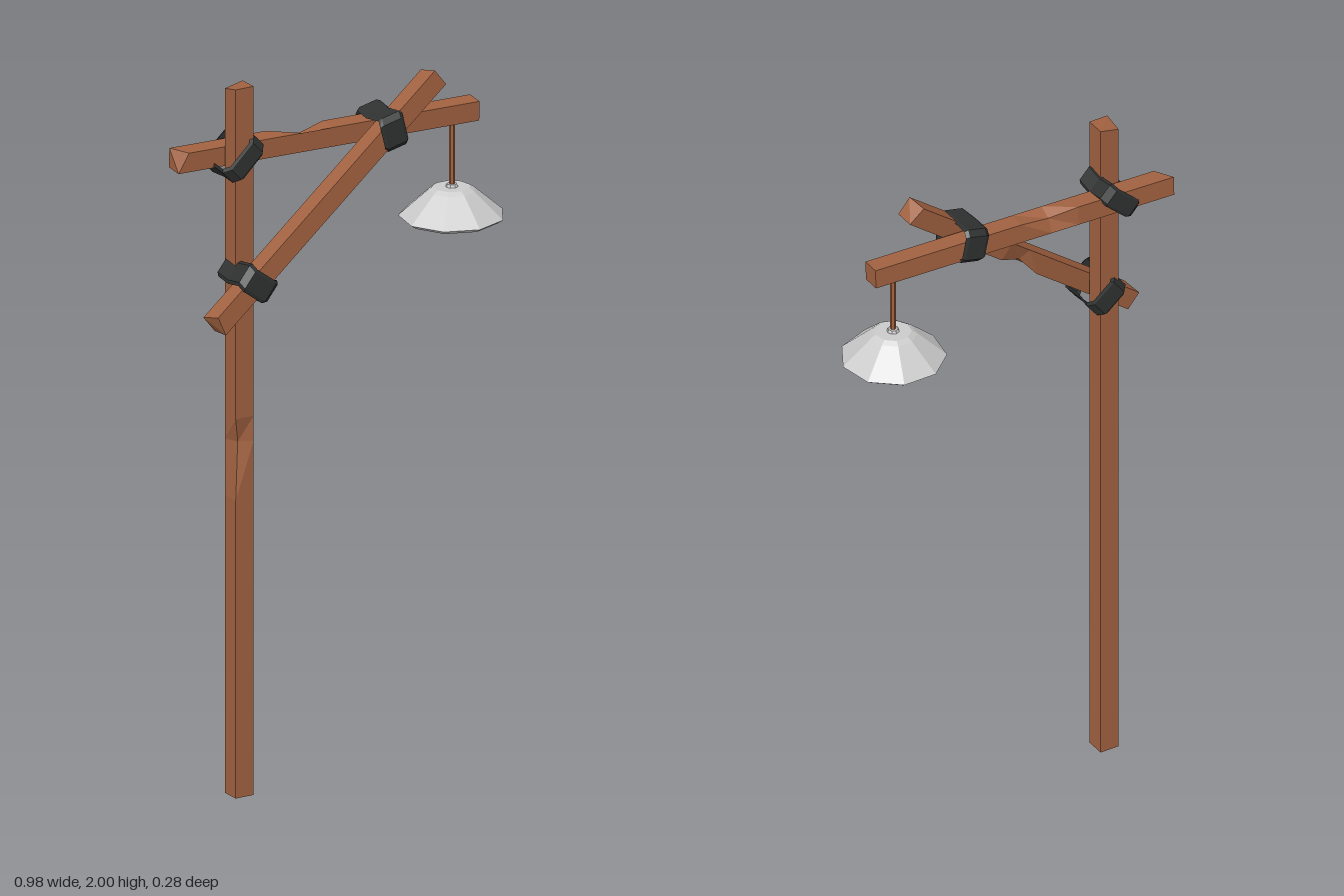
import * as THREE from 'three';

const mat = (color) => new THREE.MeshStandardMaterial({ color, flatShading: true, side: THREE.DoubleSide });
const wood = mat(0xa26241);
const rope = mat(0x303232);
const metal = mat(0xcccccc);
const V = (x, y, z) => new THREE.Vector3(x, y, z);

function add(parent, name, geometry, material) {
  const mesh = new THREE.Mesh(geometry, material);
  mesh.name = name;
  parent.add(mesh);
  return mesh;
}

// Square timber from a to b. notch: rows along the length (0..1) and the corner
// that is worn away there; chip: corners cut back at the start and the end.
function timber(parent, name, a, b, width, notch, chips) {
  const length = a.distanceTo(b);
  const rows = [0, ...notch.rows, 1];
  const g = new THREE.BoxGeometry(width, 1, width, 1, 4, 1);
  const p = g.attributes.position;
  for (let i = 0; i < p.count; i++) {
    const row = Math.round((p.getY(i) + 0.5) * 4);
    const sx = Math.sign(p.getX(i)), sz = Math.sign(p.getZ(i));
    let y = (rows[row] - 0.5) * length;
    if (row === 2 && sx === notch.sx && sz === notch.sz) {
      p.setX(i, p.getX(i) - sx * notch.depth);
      p.setZ(i, p.getZ(i) - sz * notch.depth);
    }
    for (const c of chips)
      if (row === c.row && sx === c.sx && sz === c.sz) y += (row === 0 ? 1 : -1) * c.cut;
    p.setY(i, y);
  }
  const mesh = add(parent, name, g, wood);
  mesh.position.copy(a).lerp(b, 0.5);
  mesh.quaternion.setFromUnitVectors(V(0, 1, 0), b.clone().sub(a).normalize());
}

// Closed strap around two timbers: outline in (u, z), band width across v
function binding(parent, name, x, y, angle, u, z0, z1, w) {
  const zm = (z0 + z1) / 2, r = 0.015;
  const half = [[0.7 * u, z0], [u, z0 + r], [0.93 * u, zm], [u, z1 - r], [0.7 * u, z1]];
  const outline = [...half, ...half.map(([a, z]) => [-a, z]).reverse()];
  const section = [[-w, 0.88], [-0.75 * w, 1], [0.75 * w, 1], [w, 0.88]];
  const pos = [], index = [];
  const n = outline.length, m = section.length;
  outline.forEach(([a, z], i) => {
    const skew = 0.12 * w * Math.sin(i * 2.4);
    for (const [v, s] of section) pos.push(a * s, v + skew, zm + (z - zm) * (s + 1) / 2);
  });
  for (let i = 0; i < n; i++)
    for (let j = 0; j < m - 1; j++) {
      const a = i * m + j, b = ((i + 1) % n) * m + j;
      index.push(a, b, b + 1, a, b + 1, a + 1);
    }
  const g = new THREE.BufferGeometry();
  g.setAttribute('position', new THREE.Float32BufferAttribute(pos, 3));
  g.setIndex(index);
  g.computeVertexNormals();
  const mesh = add(parent, name, g, rope);
  mesh.position.set(x, y, 0);
  mesh.rotation.z = THREE.MathUtils.degToRad(angle);
}

export function createModel() {
  const model = new THREE.Group();
  model.name = 'hangingLampPost';

  // Timbers
  timber(model, 'post', V(-0.328, 0, 0.012), V(-0.328, 2, 0.012), 0.056,
    { rows: [0.42, 0.5, 0.535], sx: -1, sz: 1, depth: 0.016 },
    [{ row: 4, sx: -1, sz: -1, cut: 0.012 }]);
  timber(model, 'crossBeam', V(-0.49, 1.795, -0.056), V(0.42, 1.795, -0.01), 0.055,
    { rows: [0.32, 0.41, 0.51], sx: -1, sz: -1, depth: 0.018 },
    [{ row: 0, sx: -1, sz: 1, cut: 0.03 }]);
  timber(model, 'diagonalBrace', V(-0.448, 1.362, 0.083), V(0.272, 1.925, 0.03), 0.055,
    { rows: [0.42, 0.5, 0.58], sx: 1, sz: -1, depth: 0.016 },
    [{ row: 0, sx: -1, sz: 1, cut: 0.015 }, { row: 4, sx: -1, sz: -1, cut: 0.012 }]);

  // Straps at the three joints
  binding(model, 'postBeamBinding', -0.327, 1.797, 43, 0.066, -0.084, 0.05, 0.029);
  binding(model, 'beamBraceBinding', 0.119, 1.803, -77, 0.05, -0.062, 0.08, 0.037);
  binding(model, 'postBraceBinding', -0.322, 1.461, -38, 0.056, -0.026, 0.112, 0.035);

  // Hanging lamp
  const lamp = new THREE.Group();
  lamp.name = 'lamp';
  lamp.position.set(0.347, 0, -0.006);
  model.add(lamp);
  add(lamp, 'cord', new THREE.CylinderGeometry(0.008, 0.008, 0.2, 6), wood).position.y = 1.68;
  const profile = [[0, 1.568], [0.056, 1.568], [0.128, 1.496], [0.144, 1.507], [0.064, 1.578], [0.05, 1.587], [0, 1.587]];
  add(lamp, 'shade', new THREE.LatheGeometry(profile.map(([r, y]) => new THREE.Vector2(r, y)), 9), metal);
  add(lamp, 'cordCap', new THREE.CylinderGeometry(0.014, 0.018, 0.01, 8), metal).position.y = 1.59;
  add(lamp, 'socket', new THREE.CylinderGeometry(0.03, 0.036, 0.05, 9), metal).position.y = 1.545;
  add(lamp, 'bulb', new THREE.SphereGeometry(0.033, 9, 6), metal).position.y = 1.501;

  return model;
}
